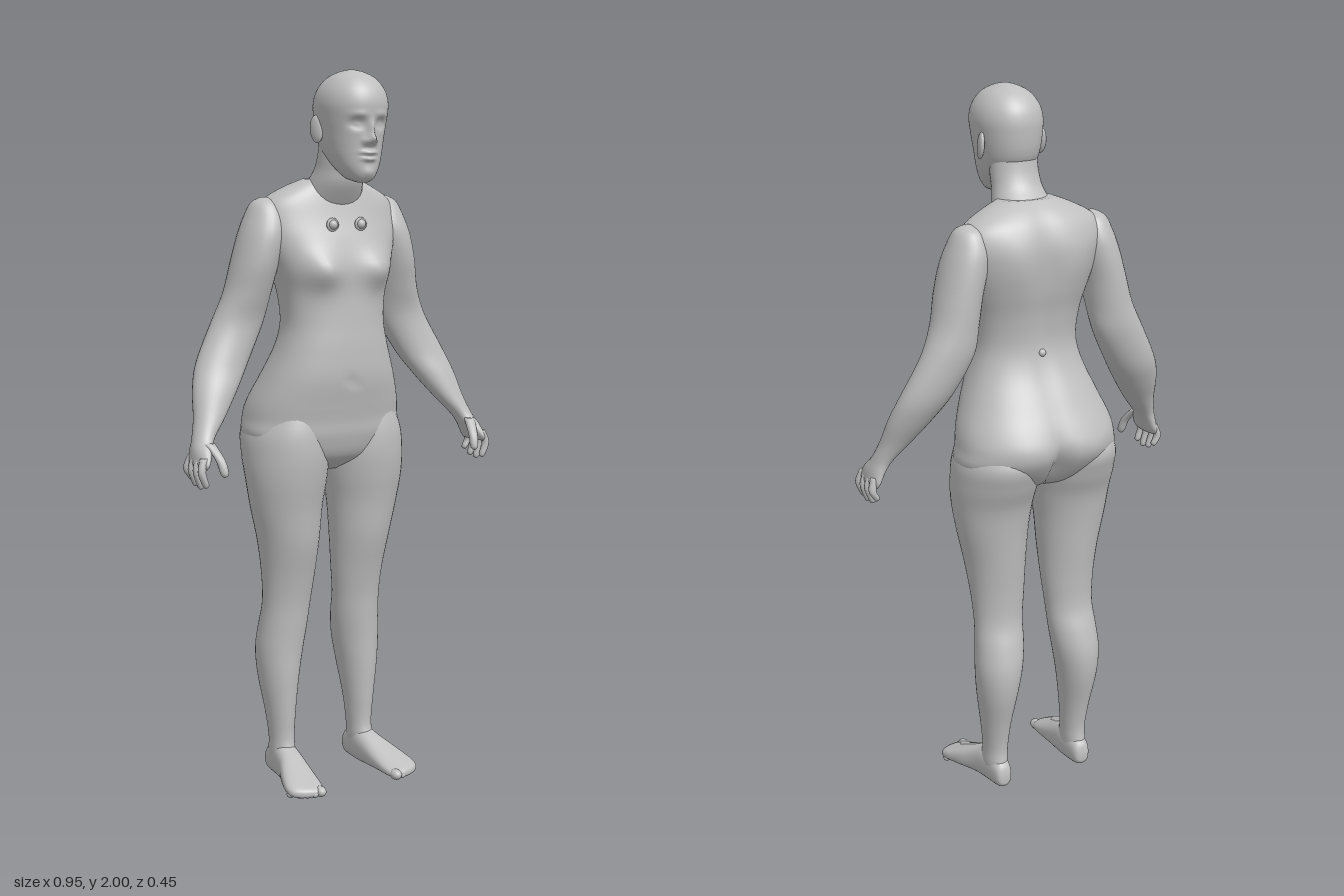
import * as THREE from 'three';

const skin = new THREE.MeshStandardMaterial({ color: 0xbfbfbf });
skin.name = 'grey skin';

const mesh = (name, geometry) => {
  const m = new THREE.Mesh(geometry, skin);
  m.name = name;
  return m;
};

// Smooth loft through level sections [y, xInner, xOuter, zFront, zBack].
// side -1 mirrors in x; bump(x, y, back) returns a shift in z.
function loft(rows, { side = 1, segs = 32, sub = 5, power = 2, bump } = {}) {
  const list = rows[0][0] > rows[rows.length - 1][0] ? [...rows].reverse() : rows;
  const spline = (a, b, c, d, t) => 0.5 * (2 * b + (c - a) * t
    + (2 * a - 5 * b + 4 * c - d) * t * t + (3 * b - a - 3 * c + d) * t * t * t);
  const at = (i) => list[Math.min(Math.max(i, 0), list.length - 1)];
  const levels = (list.length - 1) * sub + 1;
  const pos = [], index = [];
  const curve = (v) => Math.sign(v) * Math.abs(v) ** (2 / power);
  for (let l = 0; l < levels; l++) {
    const i = Math.min(Math.floor(l / sub), list.length - 2), t = l / sub - i;
    const [y, x0, x1, zf, zb] = list[0].map((_, k) =>
      spline(at(i - 1)[k], at(i)[k], at(i + 1)[k], at(i + 2)[k], t));
    for (let j = 0; j < segs; j++) {
      const a = (j / segs) * Math.PI * 2;
      const x = side * (x0 + x1) / 2 + (x1 - x0) / 2 * curve(Math.sin(a));
      let z = (zf + zb) / 2 + (zf - zb) / 2 * curve(Math.cos(a));
      if (bump) z += bump(x, y, Math.cos(a) < 0) * Math.min(1, Math.abs(Math.cos(a)) * 2);
      pos.push(x, y, z);
    }
  }
  for (let l = 0; l < levels - 1; l++) {
    for (let j = 0; j < segs; j++) {
      const a = l * segs + j, b = l * segs + (j + 1) % segs;
      index.push(a, b, a + segs, b, b + segs, a + segs);
    }
  }
  // End caps
  for (const [l, top] of [[0, false], [levels - 1, true]]) {
    const r = top ? list[list.length - 1] : list[0], c = pos.length / 3;
    pos.push(side * (r[1] + r[2]) / 2, r[0], (r[3] + r[4]) / 2);
    for (let j = 0; j < segs; j++) {
      const a = l * segs + j, b = l * segs + (j + 1) % segs;
      index.push(...(top ? [a, b, c] : [b, a, c]));
    }
  }
  const g = new THREE.BufferGeometry();
  g.setAttribute('position', new THREE.Float32BufferAttribute(pos, 3));
  g.setIndex(index);
  g.computeVertexNormals();
  return g;
}

// Section centred on x = 0: [y, halfWidth, zFront, zBack]
const centred = (rows) => rows.map(([y, r, f, b]) => [y, -r, r, f, b]);
const hump = (x, y, sx, sy) => Math.exp(-((x / sx) ** 2) - (y / sy) ** 2);

const torsoRows = centred([
  [0.9, 0.04, 0, -0.06], [0.94, 0.17, 0.06, -0.15], [1, 0.234, 0.085, -0.2],
  [1.05, 0.232, 0.092, -0.218], [1.1, 0.222, 0.102, -0.205], [1.17, 0.195, 0.115, -0.168],
  [1.25, 0.165, 0.115, -0.125], [1.32, 0.15, 0.11, -0.108], [1.4, 0.157, 0.106, -0.115],
  [1.47, 0.177, 0.108, -0.13], [1.54, 0.2, 0.092, -0.138], [1.6, 0.21, 0.07, -0.138],
  [1.65, 0.195, 0.055, -0.122], [1.685, 0.14, 0.045, -0.095], [1.71, 0.08, 0.035, -0.06],
]);
// Bust, navel, spine groove, shoulder blades and seat
function torsoBump(x, y, back) {
  const ax = Math.abs(x);
  if (!back) return 0.03 * hump(ax - 0.09, y - 1.465, 0.05, 0.05) - 0.008 * hump(x, y - 1.16, 0.012, 0.012);
  return 0.012 * hump(x, y - 1.45, 0.03, 0.25) + 0.03 * hump(x, y - 0.99, 0.02, 0.08)
    - 0.008 * hump(ax - 0.09, y - 1.55, 0.05, 0.07) - 0.01 * hump(ax - 0.1, y - 1.03, 0.07, 0.08);
}

const neckRows = centred([
  [1.6, 0.1, 0.03, -0.12], [1.66, 0.09, 0.07, -0.1], [1.7, 0.079, 0.092, -0.06],
  [1.735, 0.071, 0.1, -0.025], [1.77, 0.069, 0.11, -0.008], [1.81, 0.068, 0.12, 0],
]);

const headRows = centred([
  [1.702, 0.012, 0.172, 0.145], [1.714, 0.036, 0.183, 0.1], [1.74, 0.056, 0.189, 0.065],
  [1.77, 0.07, 0.191, 0.03], [1.8, 0.079, 0.193, 0.002], [1.83, 0.085, 0.196, -0.01],
  [1.87, 0.091, 0.203, -0.015], [1.91, 0.094, 0.207, -0.015], [1.945, 0.085, 0.197, -0.004],
  [1.975, 0.063, 0.172, 0.022], [1.993, 0.032, 0.137, 0.058], [2, 0.005, 0.105, 0.095],
]);
// Nose, nostrils, eye sockets, lids, brows, lips and chin
function headBump(x, y, back) {
  if (back) return 0;
  const ax = Math.abs(x);
  return 0.026 * hump(x, y - 1.816, 0.012, 0.014) + 0.014 * hump(x, y - 1.842, 0.009, 0.022)
    + 0.009 * hump(ax - 0.015, y - 1.81, 0.008, 0.009)
    - 0.015 * hump(ax - 0.036, y - 1.857, 0.019, 0.013) + 0.007 * hump(ax - 0.036, y - 1.856, 0.011, 0.006)
    + 0.004 * hump(ax - 0.035, y - 1.881, 0.024, 0.008)
    + 0.014 * hump(x, y - 1.781, 0.02, 0.006) + 0.013 * hump(x, y - 1.765, 0.018, 0.006)
    - 0.005 * hump(x, y - 1.773, 0.024, 0.003) + 0.006 * hump(x, y - 1.728, 0.02, 0.014);
}

const armRows = [
  [1.662, 0.185, 0.2, -0.03, -0.05], [1.645, 0.15, 0.228, 0.005, -0.085], [1.6, 0.135, 0.25, 0.03, -0.108],
  [1.55, 0.142, 0.268, 0.041, -0.117], [1.48, 0.16, 0.287, 0.036, -0.12], [1.4, 0.175, 0.308, 0.015, -0.12],
  [1.32, 0.192, 0.345, -0.004, -0.118], [1.22, 0.245, 0.398, 0.008, -0.1], [1.15, 0.293, 0.423, 0.03, -0.07],
  [1.08, 0.348, 0.437, 0.05, -0.03], [1.03, 0.393, 0.452, 0.068, -0.005], [1, 0.413, 0.462, 0.095, 0],
  [0.97, 0.43, 0.466, 0.112, 0], [0.955, 0.44, 0.463, 0.105, 0.008],
];

const legRows = [
  [1.1, 0.04, 0.19, 0.06, -0.15], [1.02, 0.012, 0.234, 0.08, -0.2], [0.95, 0.003, 0.243, 0.083, -0.185],
  [0.88, 0.01, 0.24, 0.075, -0.157], [0.8, 0.022, 0.228, 0.06, -0.142], [0.7, 0.03, 0.207, 0.045, -0.13],
  [0.6, 0.037, 0.193, 0.02, -0.12], [0.52, 0.045, 0.188, 0.004, -0.12], [0.45, 0.05, 0.192, -0.003, -0.14],
  [0.38, 0.06, 0.196, -0.008, -0.153], [0.3, 0.075, 0.19, -0.01, -0.147], [0.2, 0.09, 0.175, -0.015, -0.122],
  [0.12, 0.097, 0.166, -0.018, -0.108], [0.07, 0.099, 0.166, -0.005, -0.113], [0.02, 0.105, 0.16, -0.01, -0.115],
];

// Foot sections run heel to toe: [z, xInner, xOuter, yBottom, yTop]
const footRows = [
  [-0.126, 0.122, 0.145, 0.02, 0.045], [-0.112, 0.106, 0.158, 0.006, 0.08], [-0.05, 0.098, 0.168, 0.001, 0.105],
  [0, 0.098, 0.178, 0.001, 0.092], [0.05, 0.1, 0.198, 0.001, 0.07], [0.1, 0.104, 0.213, 0.001, 0.048],
  [0.13, 0.109, 0.208, 0.001, 0.036], [0.148, 0.115, 0.18, 0.004, 0.028], [0.156, 0.122, 0.15, 0.01, 0.02],
].map(([z, a, b, y0, y1]) => [z, a, b, -y0, -y1]);

// Finger sections around three joints [x, y, z], base to tip
function digitRows(joints, r) {
  const rows = joints.map(([x, y, z], i) => {
    const q = r * (1 - 0.12 * i);
    return [y, x - q, x + q, z + q, z - q];
  });
  const [x, y, z] = joints[joints.length - 1];
  rows.push([y - r * 0.7, x - r * 0.25, x + r * 0.25, z + r * 0.25, z - r * 0.25]);
  return rows;
}

const ball = (name, r, x, y, z, sx = 1, sy = 1, sz = 1) => {
  const m = mesh(name, new THREE.SphereGeometry(r, 20, 14));
  m.position.set(x, y, z);
  m.scale.set(sx, sy, sz);
  return m;
};

export function createModel() {
  const model = new THREE.Group();
  model.name = 'standing figure';
  model.add(
    mesh('torso', loft(torsoRows, { segs: 72, power: 2.3, bump: torsoBump })),
    mesh('neck', loft(neckRows)),
    mesh('head', loft(headRows, { segs: 112, sub: 7, power: 2.15, bump: headBump })),
    ball('backStud', 0.011, 0, 1.3, -0.1),
  );

  for (const side of [1, -1]) {
    const word = side > 0 ? 'left' : 'right';
    const add = (name, rows, opts) => model.add(mesh(word + name, loft(rows, { side, ...opts })));
    add('Arm', armRows);
    add('Leg', legRows, { segs: 40 });
    const foot = mesh(word + 'Foot', loft(footRows, { side, power: 2.4 }));
    foot.geometry.rotateX(Math.PI / 2);
    model.add(foot);

    // Fingers from the front of the hand to the back, then the thumb
    [[0.1, 0.915], [0.071, 0.908], [0.042, 0.912], [0.014, 0.926]].forEach(([z, tip], i) => {
      add('Finger' + (i + 1), digitRows([[0.45, 0.985, z * 0.85 + 0.008], [0.463, 0.95, z], [0.452, tip, z]], 0.0125),
        { segs: 12, sub: 4 });
    });
    add('Thumb', digitRows([[0.425, 1.02, 0.07], [0.412, 0.98, 0.108], [0.407, 0.945, 0.122]], 0.015), { segs: 12, sub: 4 });

    // Toes shrink towards the outside
    for (let i = 0; i < 5; i++) {
      const r = i ? 0.012 - i * 0.0005 : 0.016;
      model.add(ball(word + 'Toe' + (i + 1), r, side * (0.127 + i * 0.019), r, 0.145 - i * i * 0.0022, 1, 0.95, 1.3));
    }

    const ear = ball(word + 'Ear', 0.034, side * 0.091, 1.843, 0.07, 0.28, 1.1, 0.65);
    ear.rotation.set(-0.2, side * -0.3, 0);
    model.add(ear);

    // Small studs with a collar on the upper chest
    const collar = mesh(word + 'StudCollar', new THREE.TorusGeometry(0.014, 0.005, 8, 20));
    collar.position.set(side * 0.045, 1.588, 0.078);
    model.add(ball(word + 'Stud', 0.014, side * 0.045, 1.588, 0.078), collar);
  }
  return model;
}
